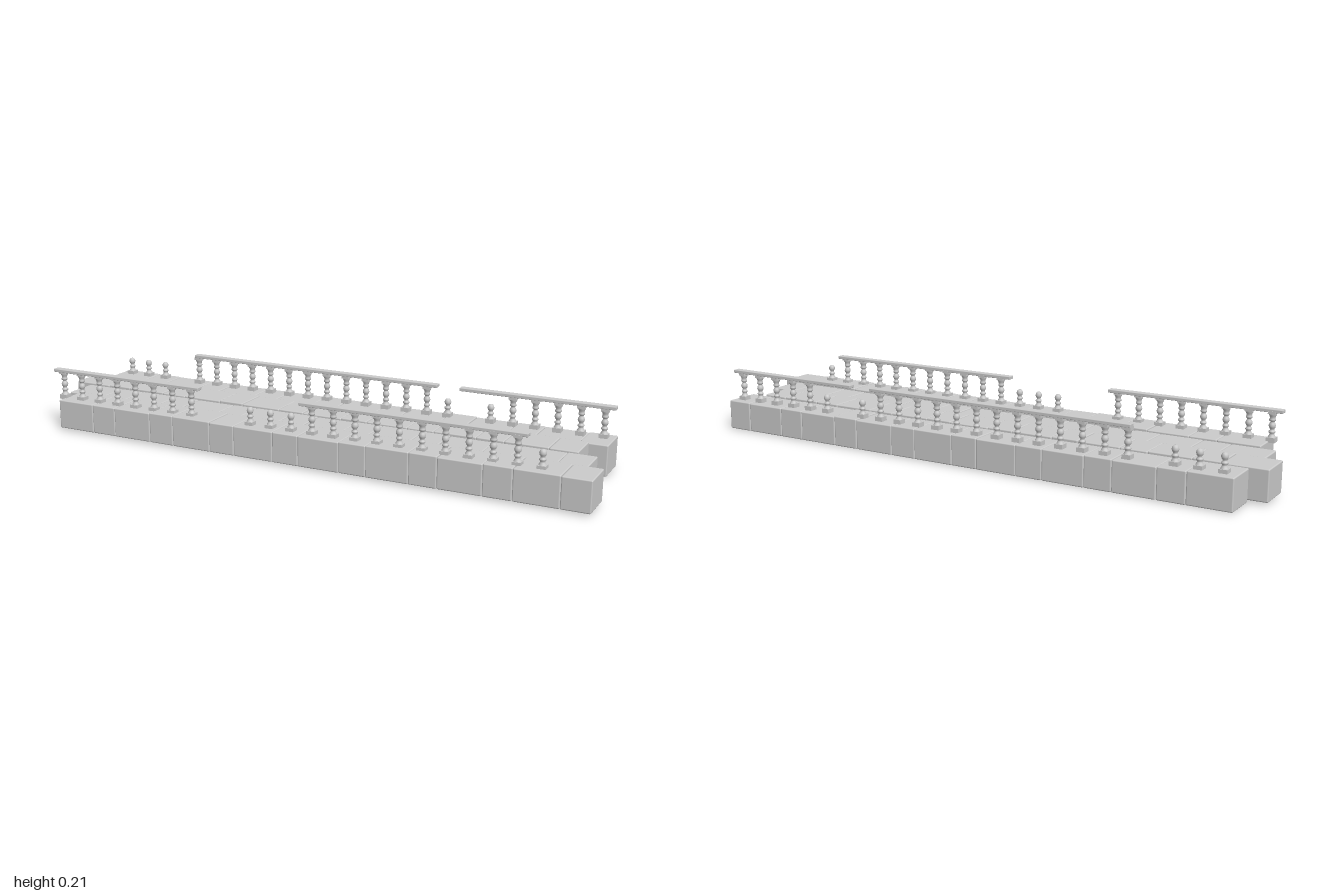
import * as THREE from 'three';
import { RoundedBoxGeometry } from 'three/addons/geometries/RoundedBoxGeometry.js';

const stone = new THREE.MeshStandardMaterial({ color: 0xcccccc, side: THREE.DoubleSide });

let seed = 7;
const rand = () => {
  seed = (seed * 16807) % 2147483647;
  return seed / 2147483647;
};

function add(parent, geometry, name, x = 0, y = 0, z = 0) {
  const mesh = new THREE.Mesh(geometry, stone);
  mesh.name = name;
  mesh.position.set(x, y, z);
  parent.add(mesh);
  return mesh;
}

// One course of alternating long and short paving blocks
function blockRow(name, startX, z0, z1, bottom, top) {
  const row = new THREE.Group();
  row.name = name;
  let x = startX;
  for (let i = 0; i < 16; i++) {
    const width = i % 2 ? 0.0925 : 0.1438;
    const height = top - bottom - rand() * 0.003;
    const depth = z1 - z0 - rand() * 0.002;
    const block = new RoundedBoxGeometry(width - 0.001, height, depth, 2, 0.004);
    add(row, block, 'block', x + width / 2, bottom + height / 2, (z0 + z1) / 2);
    x += width;
  }
  return row;
}

// Turned profile as [radius, height], measured from the deck
const profile = [
  [0.0125, 0.012], [0.0115, 0.015], [0.008, 0.021], [0.0075, 0.025], [0.0105, 0.028],
  [0.0105, 0.032], [0.007, 0.035], [0.0065, 0.039], [0.0095, 0.043], [0.0115, 0.049],
  [0.0095, 0.056], [0.0065, 0.060], [0.007, 0.063], [0.0105, 0.066], [0.0105, 0.070],
  [0.0085, 0.073], [0.0095, 0.079], [0.0125, 0.084], [0.0125, 0.088],
].map(([r, y]) => new THREE.Vector2(r, y));
const fullShaft = new THREE.LatheGeometry(profile, 14);
const brokenShaft = new THREE.LatheGeometry([...profile.slice(0, 12), new THREE.Vector2(0, 0.061)], 14);
const plinth = new THREE.BoxGeometry(0.028, 0.016, 0.028);
const capital = new THREE.BoxGeometry(0.025, 0.009, 0.025);

function baluster(x, y, z, broken) {
  const group = new THREE.Group();
  group.name = broken ? 'brokenBaluster' : 'baluster';
  group.position.set(x, y, z);
  add(group, plinth, 'plinth', 0, 0.005, 0);
  add(group, broken ? brokenShaft : fullShaft, 'shaft');
  if (!broken) add(group, capital, 'capital', 0, 0.0915, 0);
  return group;
}

// layout: one letter per post position; F full, b broken, - missing
function balustrade(name, layout, rails, deckY, z, yaw) {
  const group = new THREE.Group();
  group.name = name;
  [...layout].forEach((kind, i) => {
    if (kind !== '-') group.add(baluster(-0.895 + i * 0.0754, deckY, z, kind === 'b'));
  });
  for (const [x0, x1] of rails) {
    const rail = new RoundedBoxGeometry(x1 - x0, 0.011, 0.026, 1, 0.002);
    add(group, rail, 'handrail', (x0 + x1) / 2, 0.2045, z).rotation.y = yaw;
  }
  return group;
}

export function createModel() {
  const model = new THREE.Group();
  model.name = 'brokenStoneBridge';

  // Deck courses, staggered lengthwise and slightly in height
  model.add(
    blockRow('backCourse', -0.94, -0.243, -0.12, 0.002, 0.105),
    blockRow('backMiddleCourse', -1.0, -0.12, 0, 0.008, 0.111),
    blockRow('frontMiddleCourse', -0.94, 0, 0.12, 0, 0.105),
    blockRow('frontCourse', -0.89, 0.12, 0.245, 0.008, 0.111),
  );

  // Balustrades with gaps and broken posts
  model.add(
    balustrade('frontBalustrade', 'FFFFFFFF--bbbFFFFFFFFFFb-',
      [[-0.93, -0.335], [0.045, 0.795]], 0.107, 0.201, 0.006),
    balustrade('backBalustrade', 'bbb-FFFFFFFFFFFFFb-bFFFFF',
      [[-0.605, 0.35], [0.43, 0.95]], 0.104, -0.202, 0),
  );
  return model;
}
